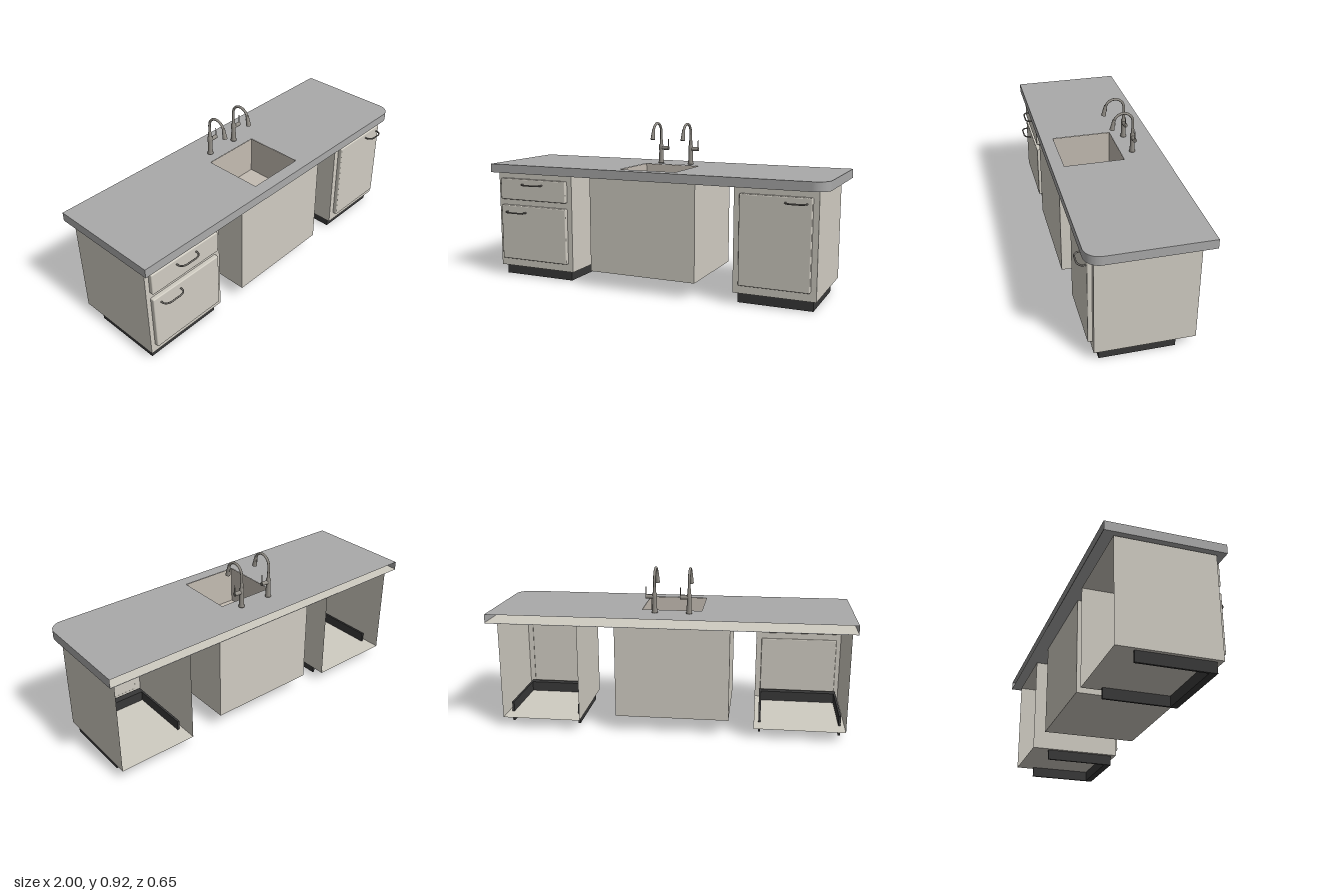
import * as THREE from 'three';
import { RoundedBoxGeometry } from 'three/addons/geometries/RoundedBoxGeometry.js';

const mat = (color, side = THREE.FrontSide) => new THREE.MeshStandardMaterial({ color, side });
const cream = mat(0xd0ccc2), creamSheet = mat(0xd0ccc2, THREE.DoubleSide);
const stone = mat(0xaaaaaa, THREE.DoubleSide);
const dark = mat(0x383838), metal = mat(0x918d86), handleMetal = mat(0x77746f);
const basinMat = mat(0xc4bcb2, THREE.DoubleSide);
const BACK = 5, TOP = 2;

function add(parent, name, geometry, material, x = 0, y = 0, z = 0) {
  const mesh = new THREE.Mesh(geometry, material);
  mesh.name = name;
  mesh.position.set(x, y, z);
  parent.add(mesh);
  return mesh;
}

// Box given by its limits; one face may be left open
function boxBetween(parent, name, material, [x0, x1], [y0, y1], [z0, z1], open = -1) {
  const g = new THREE.BoxGeometry(x1 - x0, y1 - y0, z1 - z0);
  if (open >= 0) {
    g.setIndex(Array.from(g.index.array).filter((_, i) => Math.floor(i / 6) !== open));
    g.clearGroups();
  }
  return add(parent, name, g, material, (x0 + x1) / 2, (y0 + y1) / 2, (z0 + z1) / 2);
}

// Worktop: hollow slab, open at the back, one rounded front corner, cut out for the basin
function worktop(sinkX, sinkZ) {
  const group = new THREE.Group();
  group.name = 'worktop';
  const shape = new THREE.Shape();
  shape.moveTo(-1, 0.325);
  shape.lineTo(-1, -0.305);
  shape.lineTo(0.92, -0.305);
  shape.absarc(0.92, -0.225, 0.08, -Math.PI / 2, 0, false);
  shape.lineTo(1, 0.325);
  const outline = shape.getPoints(10);
  const hole = new THREE.Path();
  hole.moveTo(sinkX[0], -sinkZ[0]);
  hole.lineTo(sinkX[1], -sinkZ[0]);
  hole.lineTo(sinkX[1], -sinkZ[1]);
  hole.lineTo(sinkX[0], -sinkZ[1]);
  hole.closePath();
  shape.holes.push(hole);
  const sheet = new THREE.ShapeGeometry(shape, 10).rotateX(-Math.PI / 2);
  add(group, 'worktopSurface', sheet, stone, 0, 0.675, 0);
  add(group, 'worktopUnderside', sheet, stone, 0, 0.625, 0);
  add(group, 'worktopUnderlay', sheet, creamSheet, 0, 0.629, 0);

  const pos = [];
  for (let i = 0; i < outline.length - 1; i++) {
    const a = outline[i], b = outline[i + 1];
    const [al, bl, bh, ah] = [[a, 0.625], [b, 0.625], [b, 0.675], [a, 0.675]].map(([p, y]) => [p.x, y, -p.y]);
    pos.push(...al, ...bl, ...bh, ...al, ...bh, ...ah);
  }
  const edge = new THREE.BufferGeometry();
  edge.setAttribute('position', new THREE.Float32BufferAttribute(pos, 3));
  edge.computeVertexNormals();
  add(group, 'worktopEdge', edge, stone);
  return group;
}

// Bowed pull handle between two x positions
function handle(parent, x0, x1, y) {
  const pts = [[x0, 0.278], [x0 + 0.003, 0.303], [x0 + 0.022, 0.318], [(x0 + x1) / 2, 0.32],
    [x1 - 0.022, 0.318], [x1 - 0.003, 0.303], [x1, 0.278]].map(([x, z]) => new THREE.Vector3(x, y, z));
  add(parent, 'handle', new THREE.TubeGeometry(new THREE.CatmullRomCurve3(pts), 32, 0.0045, 8), handleMetal);
}

// Cabinet: open-backed carcass, toe kick, front panels with handles
function cabinet(name, xs, kick, panels) {
  const group = new THREE.Group();
  group.name = name;
  boxBetween(group, 'carcass', creamSheet, xs, [0.058, 0.62], [-0.27, 0.258], BACK);
  boxBetween(group, 'toeKickFront', dark, kick, [0, 0.115], [0.19, 0.23]);
  for (const x of [kick[0], kick[1] - 0.012]) {
    boxBetween(group, 'toeKickSide', dark, [x, x + 0.012], [0, 0.115], [-0.17, 0.19]);
  }
  for (const p of panels) {
    const [x0, x1] = p.x, [y0, y1] = p.y;
    add(group, p.name, new RoundedBoxGeometry(x1 - x0, y1 - y0, 0.03, 2, 0.006), cream,
      (x0 + x1) / 2, (y0 + y1) / 2, 0.267);
    handle(group, ...p.handle);
  }
  return group;
}

// Gooseneck faucet with a side lever
function faucet(x) {
  const group = new THREE.Group();
  group.name = 'faucet';
  group.position.set(x, 0.675, -0.167);
  const profile = [[0, 0], [0.017, 0], [0.017, 0.004], [0.0145, 0.012], [0.0125, 0.07], [0.0135, 0.085],
    [0.0135, 0.107], [0.009, 0.112], [0.009, 0.138], [0.007, 0.142]].map(p => new THREE.Vector2(...p));
  add(group, 'faucetBody', new THREE.LatheGeometry(profile, 20), metal);

  const pts = [new THREE.Vector3(0, 0.13, 0), new THREE.Vector3(0, 0.16, 0)];
  for (let i = 0; i <= 8; i++) {
    const a = Math.PI * (1 - i / 8 * 0.94);
    pts.push(new THREE.Vector3(0, 0.184 + 0.054 * Math.sin(a), 0.054 + 0.054 * Math.cos(a)));
  }
  add(group, 'spoutPipe', new THREE.TubeGeometry(new THREE.CatmullRomCurve3(pts), 40, 0.0072, 12), metal);

  const head = add(group, 'sprayHead', new THREE.CylinderGeometry(0.008, 0.0135, 0.062, 16), metal, 0, 0.176, 0.112);
  head.rotation.x = -0.2;
  add(group, 'sprayButton', new THREE.BoxGeometry(0.006, 0.012, 0.006), metal, 0, 0.178, 0.101);

  const pivot = add(group, 'leverPivot', new THREE.CylinderGeometry(0.0115, 0.0115, 0.046, 16), metal, 0.026, 0.09, 0);
  pivot.rotation.z = Math.PI / 2;
  add(group, 'lever', new THREE.CylinderGeometry(0.0025, 0.0035, 0.065, 10), metal, 0.047, 0.112, 0);
  return group;
}

export function createModel() {
  const model = new THREE.Group();
  model.name = 'kitchenCounter';
  const sinkX = [-0.17, 0.165], sinkZ = [-0.1, 0.235], floor = 0.46;

  model.add(worktop(sinkX, sinkZ));
  model.add(cabinet('drawerCabinet', [-0.975, -0.475], [-0.955, -0.5], [
    { name: 'drawer', x: [-0.95, -0.505], y: [0.465, 0.59], handle: [-0.79, -0.66, 0.56] },
    { name: 'door', x: [-0.95, -0.505], y: [0.105, 0.43], handle: [-0.905, -0.775, 0.392] },
  ]));
  model.add(cabinet('doorCabinet', [0.505, 0.95], [0.525, 0.93], [
    { name: 'door', x: [0.54, 0.92], y: [0.105, 0.59], handle: [0.785, 0.895, 0.56] },
  ]));

  // Sink housing, basin and drain
  boxBetween(model, 'sinkHousing', creamSheet, [-0.335, 0.3], [0.09, 0.625], [-0.25, 0.29], TOP);
  boxBetween(model, 'sinkBasin', basinMat, sinkX, [floor, 0.674], sinkZ, TOP);
  const ring = add(model, 'drainRing', new THREE.TorusGeometry(0.031, 0.005, 8, 28), metal, 0, floor + 0.002, 0.07);
  ring.rotation.x = Math.PI / 2;
  add(model, 'drainPlug', new THREE.CylinderGeometry(0.022, 0.027, 0.008, 28), metal, 0, floor + 0.004, 0.07);

  for (const x of [-0.105, 0.085]) model.add(faucet(x));
  return model;
}
